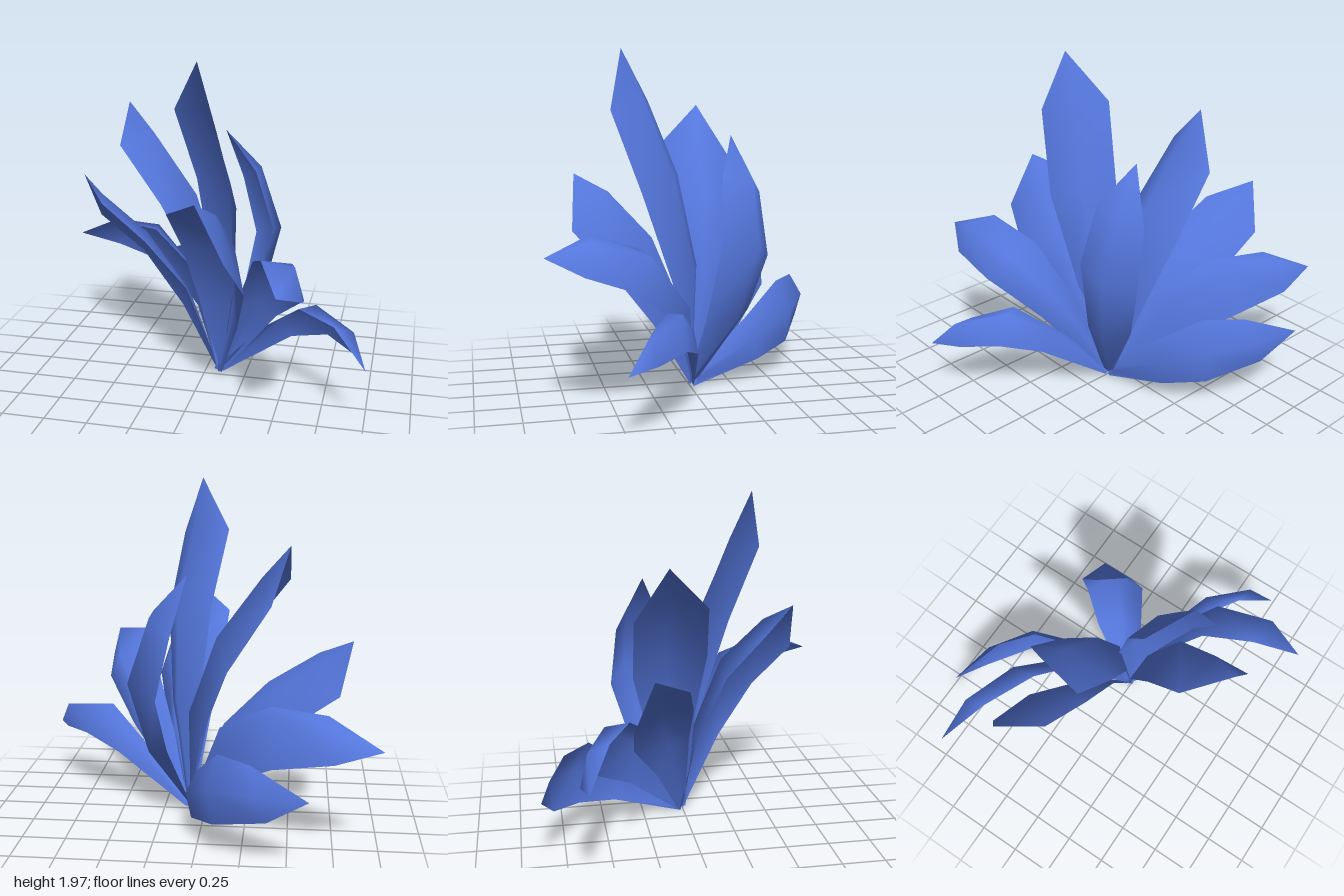
import * as THREE from 'three';

const leafBlue = new THREE.MeshStandardMaterial({ color: 0x5577dd, side: THREE.DoubleSide });
leafBlue.name = 'leafBlue';

const V = (p) => new THREE.Vector3(...p);
const ROOT = V([0.09, 0.03, -0.01]);

// Midrib raised from the chord between the two edges by arch * width.
function archedRib(a, b, end, arch) {
  const mids = a.map((p, i) => p.clone().lerp(b[i], 0.5));
  return mids.map((mid, i) => {
    const along = (mids[i + 1] || end).clone().sub(i ? mids[i - 1] : ROOT);
    const across = b[i].clone().sub(a[i]);
    const rise = across.clone().cross(along).setLength(across.length() * arch);
    return mid.add(rise);
  });
}

// One curved leaf: two edges listed from low to shoulder, closed by a tip.
// The midrib is either an arch factor or its own list of points.
function makeLeaf(name, tip, left, right, rib) {
  const a = left.map(V), b = right.map(V), end = V(tip);
  const r = Array.isArray(rib) ? rib.map(V) : archedRib(a, b, end, rib);
  // narrow foot, parallel to the lowest row
  const foot = b[0].clone().sub(a[0]).setLength(0.028);
  const points = [ROOT.clone().sub(foot), ROOT, ROOT.clone().add(foot)];
  a.forEach((p, i) => points.push(p, r[i], b[i]));
  points.push(end);

  // two strips of quads, then a fan to the tip
  const index = [];
  const rows = a.length, tipIndex = points.length - 1;
  for (let c = 0; c < 2; c++) {
    for (let row = 0; row < rows; row++) {
      const p = row * 3 + c;
      index.push(p, p + 1, p + 4, p, p + 4, p + 3);
    }
    index.push(rows * 3 + c, rows * 3 + c + 1, tipIndex);
  }
  const geometry = new THREE.BufferGeometry().setFromPoints(points);
  geometry.setIndex(index);
  geometry.computeVertexNormals();
  const mesh = new THREE.Mesh(geometry, leafBlue);
  mesh.name = name;
  return mesh;
}

export function createModel() {
  const plant = new THREE.Group();
  plant.name = 'leafyPlant';
  plant.add(
    // upright leaves
    makeLeaf('tallLeaf', [0.05, 1.97, 0.39],
      [[0.21, 0.65, 0.13], [0.25, 1.17, 0.31], [0.17, 1.63, 0.47]],
      [[0.03, 0.72, -0.05], [-0.03, 1.25, 0.05], [-0.12, 1.68, 0.21]], 0.26),
    makeLeaf('frontLeaf', [0.1, 1.28, 0.67],
      [[0.25, 0.43, 0.25], [0.33, 0.73, 0.48], [0.26, 0.98, 0.7]],
      [[-0.01, 0.49, 0.06], [-0.08, 0.9, 0.23], [-0.11, 1.15, 0.45]], 0.36),
    makeLeaf('uprightRightLeaf', [-0.49, 1.64, -0.17],
      [[-0.04, 0.7, 0.05], [-0.24, 1.09, 0.08], [-0.49, 1.42, 0.04]],
      [[0.01, 0.52, -0.22], [-0.15, 0.95, -0.33], [-0.39, 1.33, -0.35]], 0.33),
    makeLeaf('uprightBackLeaf', [0.08, 1.48, -0.24],
      [[0.28, 0.45, -0.05], [0.39, 0.93, -0.12], [0.28, 1.26, -0.14]],
      [[0.19, 0.48, -0.32], [0.24, 0.8, -0.42], [0.16, 1.16, -0.39]], 0.3),
    // spreading leaves
    makeLeaf('frontLeftLeaf', [0.56, 0.89, 0.88],
      [[0.46, 0.49, 0.16], [0.65, 0.71, 0.43], [0.67, 0.8, 0.68]],
      [[0.22, 0.52, 0.12], [0.35, 0.88, 0.34], [0.44, 0.99, 0.62]], 0.35),
    makeLeaf('rightLeaf', [-0.84, 1.14, -0.3],
      [[-0.11, 0.55, 0], [-0.37, 0.82, -0.02], [-0.66, 1.02, -0.09]],
      [[-0.18, 0.36, -0.2], [-0.48, 0.64, -0.37], [-0.77, 0.85, -0.4]],
      [[-0.13, 0.52, -0.12], [-0.41, 0.82, -0.21], [-0.71, 1.03, -0.26]]),
    makeLeaf('backRightLeaf', [-1, 0.63, -0.65],
      [[-0.1, 0.59, -0.2], [-0.4, 0.78, -0.38], [-0.71, 0.78, -0.52]],
      [[-0.12, 0.3, -0.35], [-0.41, 0.49, -0.59], [-0.74, 0.56, -0.68]],
      [[-0.1, 0.53, -0.31], [-0.42, 0.77, -0.52], [-0.74, 0.75, -0.64]]),
    makeLeaf('backLeaf', [-0.61, 0.43, -0.88],
      [[0.02, 0.38, -0.35], [-0.12, 0.57, -0.59], [-0.3, 0.57, -0.74]],
      [[0.04, 0.13, -0.43], [-0.1, 0.19, -0.65], [-0.39, 0.28, -0.81]], 0.18),
    makeLeaf('droopingLeftLeaf', [1, 0.37, 0.52],
      [[0.54, 0.33, 0.06], [0.76, 0.41, 0.17], [0.92, 0.39, 0.35]],
      [[0.37, 0.38, 0.09], [0.6, 0.58, 0.24], [0.81, 0.54, 0.36]],
      [[0.48, 0.44, 0.07], [0.69, 0.59, 0.18], [0.92, 0.53, 0.38]]),
  );
  return plant;
}
